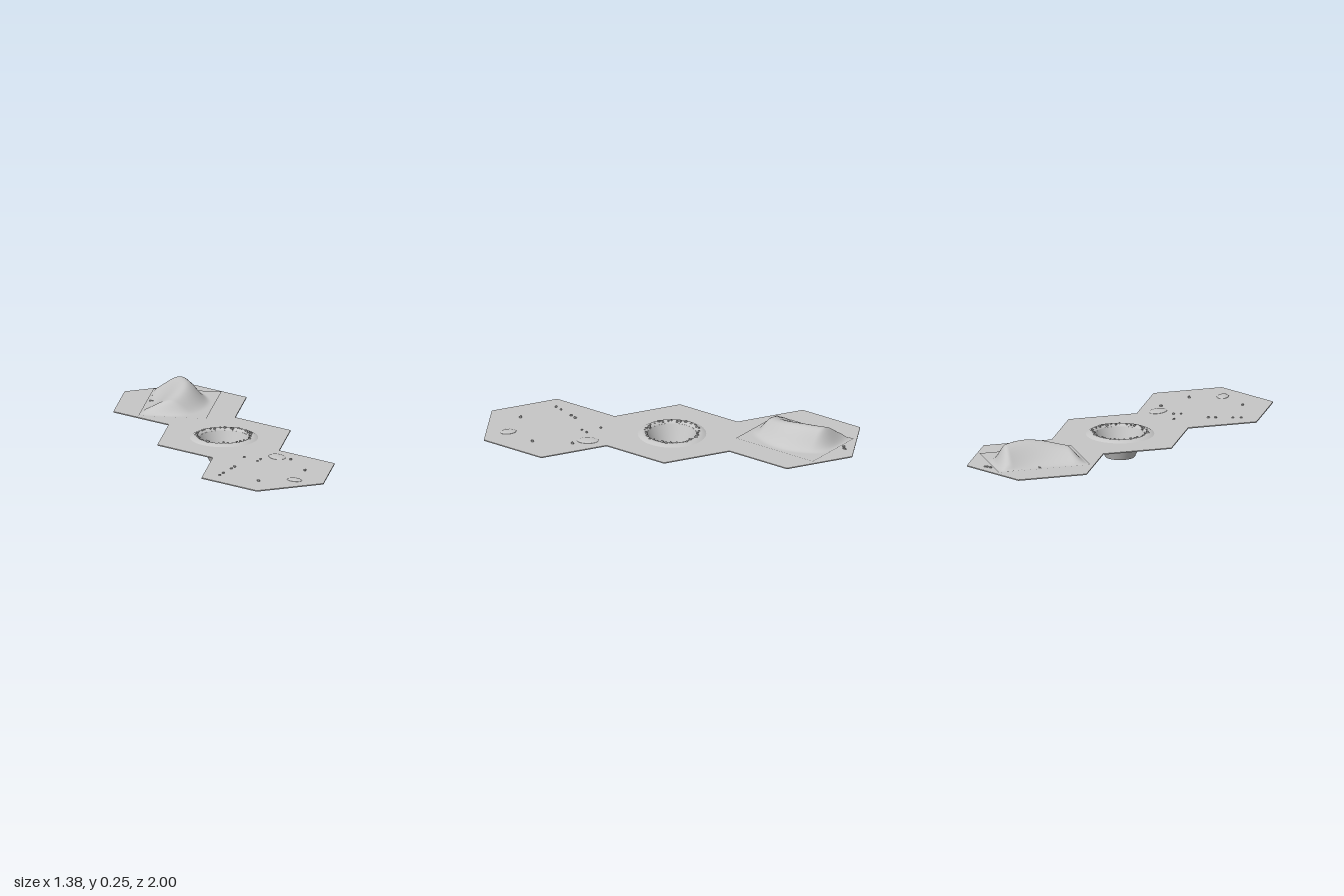
import * as THREE from 'three';

const TOP = 0.13;

export function createModel() {
  const model = new THREE.Group();
  const ground = new THREE.MeshStandardMaterial({ name: 'pale grey ground', color: 0xc6c6c6, side: THREE.DoubleSide });
  const stone = new THREE.MeshStandardMaterial({ name: 'grey stone', color: 0xb4b4b4, flatShading: true });

  let seed = 7;
  const rand = () => (seed = (seed * 16807) % 2147483647) / 2147483647;

  function add(name, geometry, material, parent = model) {
    const mesh = new THREE.Mesh(geometry, material);
    mesh.name = name;
    parent.add(mesh);
    return mesh;
  }
  const pebble = new THREE.DodecahedronGeometry(1, 0);
  function rock(name, x, y, z, r, parent) {
    const m = add(name, pebble, stone, parent);
    m.position.set(x, y, z);
    m.scale.set(r * (0.8 + 0.5 * rand()), r * (0.7 + 0.4 * rand()), r * (0.8 + 0.5 * rand()));
    m.rotation.set(rand() * 6, rand() * 6, rand() * 6);
  }

  // Three joined hexagonal tiles with a hole for the crater
  const half = [[0.345, -1], [0.69, -0.8], [0.69, -0.4], [0.345, -0.2], [0.345, 0.2], [0, 0.4], [0, 0.8]];
  const outline = [...half, ...half.map(([x, z]) => [-x, -z])];
  const shape = new THREE.Shape(outline.map(([x, z]) => new THREE.Vector2(x, -z)));
  const hole = new THREE.Path();
  hole.absarc(0, 0, 0.138, 0, Math.PI * 2, true);
  shape.holes.push(hole);
  const plate = new THREE.ExtrudeGeometry(shape, { depth: 0.006, bevelEnabled: false, curveSegments: 32 });
  plate.rotateX(-Math.PI / 2).translate(0, TOP - 0.006, 0);
  add('hexTiles', plate, ground);

  // Crater: raised rim, sloping wall, floor and central peak
  const crater = new THREE.Group();
  crater.name = 'crater';
  model.add(crater);
  const lathe = (name, pts) => add(name,
    new THREE.LatheGeometry(pts.map(([r, y]) => new THREE.Vector2(r, y)), 48), ground, crater);
  lathe('craterRim', [[0.192, TOP], [0.183, 0.135], [0.17, 0.141], [0.157, 0.143], [0.145, 0.139], [0.138, 0.128]]);
  lathe('craterWall', [[0.085, 0], [0.138, 0.13]]);
  const floor = add('craterFloor', new THREE.CircleGeometry(0.085, 48), ground, crater);
  floor.rotation.x = -Math.PI / 2;
  lathe('centralPeak', [[0.068, 0.001], [0.055, 0.013], [0.04, 0.032], [0.02, 0.045], [0, 0.05]]);
  for (let i = 0; i < 34; i++) {
    const a = (i + 0.7 * rand()) / 34 * Math.PI * 2, r = 0.143 + 0.016 * rand();
    rock('rimRock', Math.cos(a) * r, 0.141, Math.sin(a) * r, 0.005 + 0.005 * rand(), crater);
  }
  for (let i = 0; i < 26; i++) {
    const a = i * 2.4, r = 0.056 * Math.sqrt(i / 26);
    rock('peakRock', Math.cos(a) * r, 0.052 - 0.75 * r, Math.sin(a) * r, 0.008 + 0.006 * rand(), crater);
  }

  // Crescent dune: a grid raised along a curved crest
  const dune = new THREE.PlaneGeometry(0.535, 0.385, 56, 40);
  dune.rotateX(-Math.PI / 2);
  const p = dune.attributes.position;
  const smooth = THREE.MathUtils.smoothstep;
  for (let i = 0; i < p.count; i++) {
    const u = p.getX(i), v = p.getZ(i);
    const d = v - (0.025 - 1.5 * u * u);
    const across = d < 0 ? 1 - smooth(-d, 0, 0.2) : 1 - smooth(d, 0, 0.145);
    const ends = smooth(0.262 - Math.abs(u), 0, 0.085);
    const edge = smooth(0.1925 - Math.abs(v), 0, 0.03);
    const crest = 0.094 + 0.07 * u + 0.012 * Math.cos(u * 12 - 0.5);
    p.setY(i, crest * across * ends * edge);
  }
  dune.computeVertexNormals();
  const duneMesh = add('dune', dune, ground);
  duneMesh.position.set(0.345, TOP + 0.004, -0.6);
  duneMesh.rotation.y = Math.PI / 6;

  // Low oval mounds
  for (const [x, z, rx, rz, turn] of [[-0.105, 0.47, 0.044, 0.061, -0.45], [-0.392, 0.83, 0.033, 0.047, 0]]) {
    const m = add('mound', new THREE.SphereGeometry(1, 28, 8, 0, Math.PI * 2, 0, Math.PI / 2), ground);
    m.position.set(x, TOP, z);
    m.scale.set(rx, 0.008, rz);
    m.rotation.y = turn;
  }

  // Scattered pebbles
  const spots = [[-0.59, 0.45], [-0.545, 0.44], [-0.45, 0.42], [-0.41, 0.412], [-0.245, 0.443], [-0.205, 0.432],
    [-0.23, 0.335], [-0.1, 0.565], [-0.54, 0.69], [-0.215, 0.76], [0.09, -0.63], [0.28, -0.76], [0.285, -0.745],
    [0.37, -0.82], [0.55, -0.81], [0.572, -0.8], [0.585, -0.803]];
  for (const [x, z] of spots) rock('pebble', x, TOP + 0.002, z, 0.006 + 0.003 * rand());

  return model;
}
